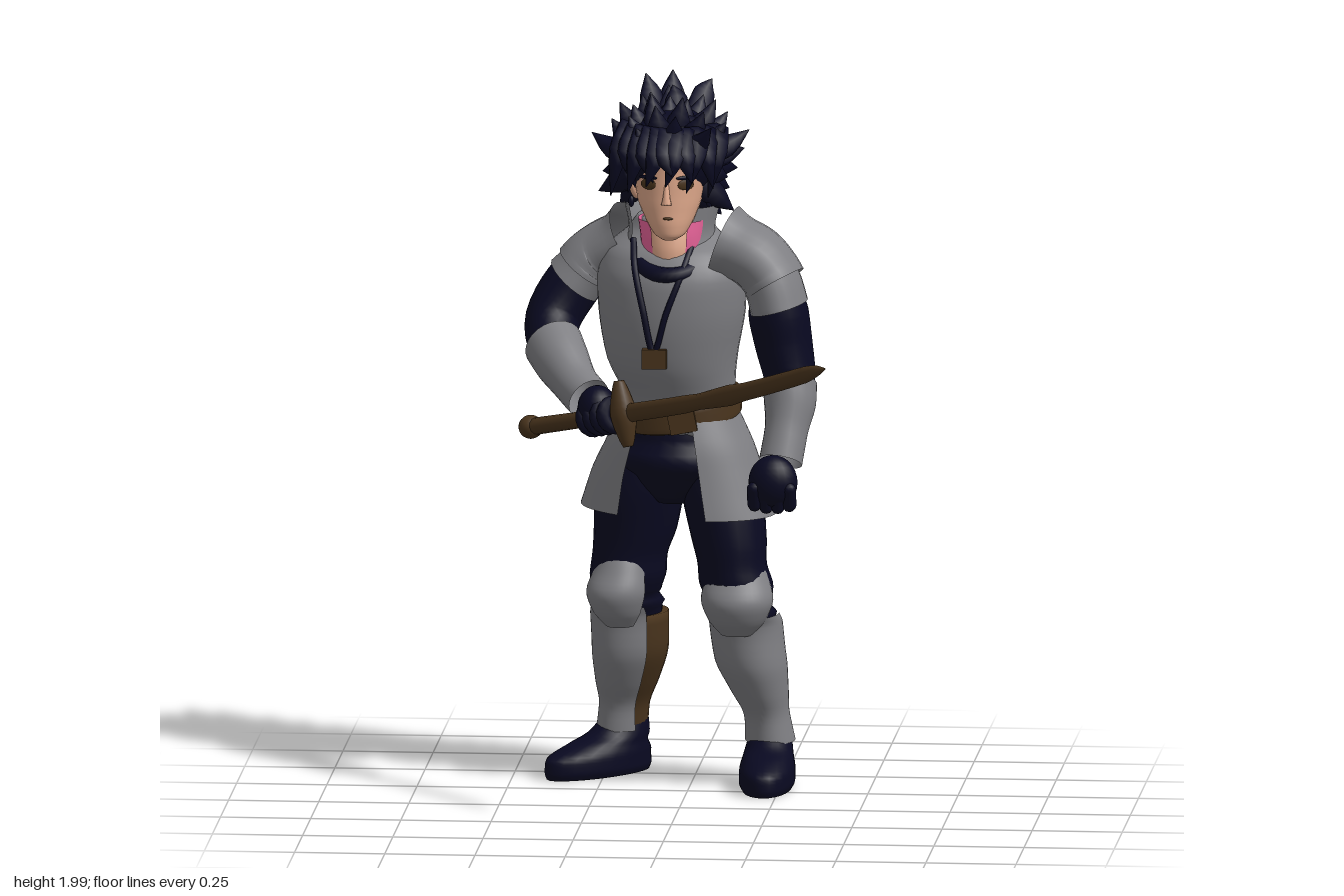
import * as THREE from 'three';
import { mergeGeometries } from 'three/addons/utils/BufferGeometryUtils.js';

const V = (x, y, z) => new THREE.Vector3(x, y, z);
const material = (name, color, side = THREE.FrontSide) => {
  const m = new THREE.MeshStandardMaterial({ color, side });
  m.name = name;
  return m;
};

// Skin elliptical rings [x, y, z, width, depth] into a surface.
// Without ref the rings lie flat (listed bottom to top); with ref they stand across the path.
function loft(rings, { yaw = 0, ref = null, arc = null, seg = 24, sub = 4, open = false } = {}) {
  const path = new THREE.CatmullRomCurve3(rings.map(r => V(r[0], r[1], r[2])));
  const size = new THREE.CatmullRomCurve3(rings.map(r => V(r[3], r[4], 0)));
  const n = (rings.length - 1) * sub, cols = arc ? seg + 1 : seg;
  const pos = [], idx = [];
  for (let i = 0; i <= n; i++) {
    const k = i / n, c = path.getPoint(k), s = size.getPoint(k);
    let t = V(0, 1, 0), u = V(Math.sin(yaw), 0, Math.cos(yaw));
    if (ref) {
      t = path.getPoint(Math.min(1, k + 0.01)).sub(path.getPoint(Math.max(0, k - 0.01))).normalize();
      u = ref.clone().addScaledVector(t, -ref.dot(t)).normalize();
    }
    const v = t.clone().cross(u);
    for (let j = 0; j < cols; j++) {
      const a = arc ? arc[0] + (arc[1] - arc[0]) * j / seg : j / seg * Math.PI * 2;
      const p = c.clone().addScaledVector(u, s.y * Math.cos(a)).addScaledVector(v, s.x * Math.sin(a));
      pos.push(p.x, p.y, p.z);
    }
  }
  for (let i = 0; i < n; i++) for (let j = 0; j < seg; j++) {
    const a = i * cols + j, b = i * cols + (j + 1) % cols;
    idx.push(a, b, a + cols, b, b + cols, a + cols);
  }
  if (!arc && !open) {
    [0, n].forEach(i => {
      const c = path.getPoint(i / n), m = pos.length / 3;
      pos.push(c.x, c.y, c.z);
      for (let j = 0; j < seg; j++) {
        const a = i * cols + j, b = i * cols + (j + 1) % cols;
        idx.push(...(i ? [a, b, m] : [b, a, m]));
      }
    });
  }
  const g = new THREE.BufferGeometry();
  g.setAttribute('position', new THREE.Float32BufferAttribute(pos, 3));
  g.setIndex(idx);
  g.computeVertexNormals();
  return g;
}

export function createModel() {
  const model = new THREE.Group();
  model.name = 'knight';
  const steel = material('steel', 0x7f7f83, THREE.DoubleSide);
  const navy = material('navy', 0x090921);
  const brown = material('brown leather', 0x49341d);
  const skin = material('skin', 0xdba588);
  const pink = material('pink', 0xe8649a, THREE.DoubleSide);
  const add = (name, mat, geo, p) => {
    const m = new THREE.Mesh(geo, mat);
    m.name = name;
    if (p) m.position.set(...p);
    model.add(m);
    return m;
  };
  const ball = (name, mat, p, s) => {
    const m = add(name, mat, new THREE.SphereGeometry(1, 20, 14), p);
    m.scale.set(...s);
    return m;
  };
  const Z = V(0, 0, 1), Y = V(0, 1, 0), yaw = -0.32;

  // Torso, collar and belt
  add('breastplate', steel, loft([[-.03, 1.0, -.355, .15, .13], [-.03, 1.09, -.35, .155, .137], [-.05, 1.2, -.335, .182, .168],
    [-.05, 1.34, -.33, .207, .183], [-.05, 1.44, -.33, .212, .176], [-.05, 1.51, -.34, .19, .15], [-.05, 1.56, -.36, .13, .1], [-.05, 1.6, -.36, .1, .08]], { yaw, seg: 36 }));
  add('collar', steel, loft([[-.05, 1.5, -.33, .14, .125], [-.05, 1.57, -.33, .12, .115], [-.05, 1.64, -.34, .135, .12]], { yaw, arc: [.85, Math.PI * 2 - .75] }));
  add('scarf', pink, loft([[-.045, 1.5, -.28, .082, .09], [-.045, 1.56, -.28, .088, .095], [-.045, 1.605, -.29, .095, .1]], { arc: [.55, Math.PI * 2 - .6] }));
  const belt = loft([[-.03, 1.03, -.355, .158, .138], [-.03, 1.04, -.355, .174, .155], [-.03, 1.095, -.355, .172, .153], [-.03, 1.105, -.355, .155, .136]], { yaw, seg: 36 });
  const bp = belt.attributes.position;
  for (let i = 0; i < bp.count; i++) bp.setY(i, bp.getY(i) + .14 * bp.getX(i) - .13 * (bp.getZ(i) + .355));
  belt.computeVertexNormals();
  add('belt', brown, belt);
  add('buckle', brown, new THREE.BoxGeometry(.075, .06, .025), [-.01, 1.045, -.205]).rotation.z = .2;
  add('pelvis', navy, loft([[-.03, .8, -.365, .06, .09], [-.03, .88, -.36, .15, .14], [-.03, .97, -.357, .15, .14], [-.03, 1.04, -.355, .14, .125]], { yaw }));

  // Skirt plates, split at front and back
  const skirt = [[-.035, .775, -.37, .29, .2], [-.035, .88, -.368, .252, .188], [-.03, .97, -.36, .21, .175], [-.03, 1.06, -.355, .165, .147]];
  [['leftSkirtPlate', [.65, Math.PI + .07]], ['rightSkirtPlate', [Math.PI + .27, Math.PI * 2 - .3]]].forEach(([n, arc]) =>
    add(n, steel, loft(skirt, { yaw: -.43, arc })));

  // Legs: trousers, boot, greave, knee guard and shoe
  const legs = [
    { n: 'left', yaw: .1, foot: 0, sole: .165, knee: [.137, .55, -.255], wide: 1, arc: [-1.5, 1.5],
      thigh: [[.15, .42, -.36, .08, .09], [.147, .48, -.335, .09, .105], [.14, .53, -.305, .09, .105], [.13, .58, -.30, .102, .115],
        [.12, .63, -.30, .096, .115], [.11, .7, -.31, .104, .127], [.09, .82, -.33, .112, .138], [.065, .96, -.35, .09, .115]],
      shin: [[.215, .12, -.41, .056, .076], [.207, .19, -.402, .058, .08], [.188, .26, -.39, .074, .1], [.165, .35, -.373, .094, .118], [.152, .46, -.36, .096, .115]] },
    { n: 'right', yaw: -.6, foot: -.8, sole: .18, knee: [-.2, .55, -.36], wide: .85, arc: [-1.55, 1.2],
      thigh: [[-.18, .42, -.49, .08, .09], [-.185, .48, -.465, .09, .105], [-.185, .53, -.435, .09, .105], [-.18, .58, -.425, .1, .115],
        [-.175, .63, -.42, .097, .115], [-.16, .7, -.42, .106, .127], [-.145, .82, -.405, .113, .138], [-.115, .96, -.38, .09, .115]],
      shin: [[-.2, .12, -.553, .055, .074], [-.197, .19, -.542, .058, .078], [-.187, .26, -.52, .074, .098], [-.177, .35, -.496, .092, .116], [-.178, .46, -.484, .095, .118]] },
  ];
  for (const l of legs) {
    add(l.n + 'Trouser', navy, loft(l.thigh, { yaw: l.yaw }));
    add(l.n + 'Boot', brown, loft(l.shin, { yaw: l.yaw }));
    const plate = l.shin.map(([x, y, z, a, b]) => [x, y, z, a + .006, b + .009]);
    plate[0][3] += .008; plate[0][4] += .01;
    const top = plate[4];
    plate.push([top[0], .49, top[2] + .025, top[3] - .008, top[4] - .005]);
    add(l.n + 'Greave', steel, loft(plate, { yaw: l.yaw, arc: l.arc }));
    const [kx, ky, kz] = l.knee;
    const guard = [[-.11, -.01, .045, .045], [-.07, 0, .078, .075], [-.01, .005, .1, .09], [.05, -.01, .086, .074], [.105, -.04, .07, .075]]
      .map(([y, d, a, b]) => [kx + d * Math.sin(l.yaw), ky + y, kz + d * Math.cos(l.yaw), a * l.wide, b]);
    add(l.n + 'KneeGuard', steel, loft(guard, { yaw: l.yaw, arc: [-1.75, 1.75] }));
    const [ax, , az] = l.shin[0], s = Math.sin(l.foot), c = Math.cos(l.foot);
    const shoe = [[0, .096, .068, l.sole - .006], [.02, .096, .077, l.sole], [.055, .094, .077, l.sole - .003], [.085, .065, .07, .135], [.11, .025, .064, .1], [.15, 0, .055, .07]]
      .map(([y, d, a, b]) => [ax + d * s, y, az + d * c, a, b]);
    add(l.n + 'Shoe', navy, loft(shoe, { yaw: l.foot }));
  }

  // Sleeves, vambraces and layered shoulder guards
  add('leftSleeve', navy, loft([[.2, 1.47, -.265, .07, .09], [.242, 1.4, -.258, .072, .095], [.252, 1.34, -.262, .084, .1], [.265, 1.26, -.27, .08, .1], [.282, 1.17, -.26, .072, .092], [.285, 1.1, -.22, .06, .07]], { ref: Z }));
  add('rightSleeve', navy, loft([[-.25, 1.48, -.43, .07, .09], [-.335, 1.385, -.425, .08, .092], [-.385, 1.295, -.385, .077, .085], [-.378, 1.235, -.32, .07, .075], [-.34, 1.19, -.24, .055, .055]], { ref: Z }));
  add('leftVambrace', steel, loft([[.284, 1.15, -.245, .075, .096], [.287, 1.1, -.218, .072, .085], [.28, 1.03, -.18, .06, .068], [.268, .95, -.14, .06, .062]], { ref: Z, open: true }));
  add('rightVambrace', steel, loft([[-.377, 1.235, -.315, .082, .084], [-.348, 1.2, -.255, .077, .078], [-.302, 1.15, -.18, .063, .063], [-.262, 1.12, -.125, .062, .062]], { ref: Y, open: true }));
  const guards = {
    left: [[[.1, 1.54, -.275, .106, .115], [.14, 1.525, -.268, .09, .112], [.19, 1.5, -.26, .088, .118], [.23, 1.455, -.255, .086, .122], [.245, 1.43, -.25, .086, .125]],
      [[.22, 1.465, -.255, .08, .113], [.24, 1.42, -.25, .08, .116], [.255, 1.365, -.248, .081, .122]]],
    right: [[[-.17, 1.53, -.41, .098, .12], [-.205, 1.51, -.42, .08, .122], [-.25, 1.48, -.44, .082, .132], [-.285, 1.45, -.445, .085, .136], [-.3, 1.43, -.445, .088, .14]],
      [[-.28, 1.455, -.445, .078, .126], [-.305, 1.425, -.445, .079, .13], [-.33, 1.395, -.445, .084, .136]]],
  };
  for (const side in guards) guards[side].forEach((g, i) =>
    add(side + (i ? 'LowerShoulderGuard' : 'ShoulderGuard'), steel, loft(g, { ref: Z, open: true })));

  // Hands
  ball('leftHand', navy, [.25, .9, -.105], [.068, .075, .055]);
  for (let i = 0; i < 4; i++) {
    const f = add('leftFinger', navy, new THREE.CapsuleGeometry(.02, .05, 4, 8), [.2 + i * .032, .862 - (i % 3 ? .006 : 0), -.085]);
    f.rotation.x = .35;
  }
  ball('rightHand', navy, [-.235, 1.105, -.085], [.055, .062, .06]);

  // Wooden sword
  const pommel = V(-.435, 1.015, -.255), hilt = V(-.155, 1.105, 0), tip = V(.46, 1.36, .625);
  const at = (a, b, k, r, q, dip = 0) => { const p = a.clone().lerp(b, k); return [p.x, p.y - dip, p.z, r, q]; };
  add('grip', brown, loft([at(pommel, hilt, 0, .027, .024), at(pommel, hilt, 1, .022, .022)], { ref: Y, seg: 12 }));
  ball('pommel', brown, pommel.toArray(), [.034, .033, .036]);
  add('blade', brown, loft([at(hilt, tip, 0, .016, .026), at(hilt, tip, .3, .016, .025, .012), at(hilt, tip, .6, .016, .025, .014),
    at(hilt, tip, .9, .015, .023, .004), at(hilt, tip, .96, .011, .015), at(hilt, tip, 1, .001, .002)], { ref: Y, seg: 10 }));
  const bar = [[-.09, .014], [-.07, .022], [0, .037], [.07, .022], [.09, .014]];
  add('crossguard', brown, loft(bar.map(([d, r]) => [hilt.x - .16 * d, hilt.y + d, hilt.z - .16 * d, r, r]), { ref: Z, seg: 14 }));
  for (let i = 0; i < 4; i++) {
    const p = pommel.clone().lerp(hilt, .66 + i * .075);
    const ring = add('rightFinger', navy, new THREE.TorusGeometry(.035, .019, 8, 16), p.toArray());
    ring.lookAt(tip);
  }

  // Neck, undershirt edge and head
  add('neck', skin, loft([[-.045, 1.47, -.255, .07, .07], [-.045, 1.54, -.265, .07, .078], [-.05, 1.64, -.3, .07, .075]]));
  const edge = add('undershirtEdge', navy, new THREE.TorusGeometry(.08, .023, 8, 28), [-.048, 1.495, -.238]);
  edge.rotation.x = Math.PI / 2 + .4;
  add('head', skin, loft([[-.045, 1.562, -.19, .02, .025], [-.045, 1.575, -.2, .042, .045], [-.047, 1.61, -.232, .066, .08], [-.05, 1.66, -.262, .088, .106],
    [-.05, 1.72, -.288, .1, .128], [-.05, 1.8, -.3, .105, .135], [-.05, 1.88, -.31, .07, .09]], { seg: 28 }));
  add('nose', skin, loft([[-.05, 1.665, -.152, .015, .016], [-.05, 1.68, -.155, .011, .015], [-.05, 1.72, -.165, .006, .008]], { seg: 10 }));
  ball('mouth', brown, [-.046, 1.625, -.155], [.014, .004, .004]);
  for (const s of [-1, 1]) {
    const x = -.05 + s * .052;
    ball('eye', brown, [x, 1.718, -.174], [.024, .015, .004]).rotation.y = s * .45;
    ball('eyebrow', navy, [x, 1.738, -.17], [.029, .006, .004]).rotation.y = s * .45;
    ball('ear', skin, [-.05 + s * .1, 1.69, -.28], [.014, .034, .022]).rotation.z = -s * .25;
    ball('earring', navy, [-.05 + s * .108, 1.65, -.275], [.008, .016, .008]);
  }

  // Hair: a cap with swept-back spikes, a few long tufts and a fringe
  ball('hairCap', navy, [-.05, 1.78, -.315], [.142, .132, .147]);
  let seed = 11;
  const rnd = () => (seed = (seed * 16807) % 2147483647) / 2147483647;
  const spikes = [], centre = V(-.053, 1.765, -.295);
  const spike = (a, b, c, w) => spikes.push(loft([[...a.toArray(), w, w * .6], [...b.toArray(), w * .75, w * .45], [...c.toArray(), .001, .001]],
    { ref: V(.3, .5, .81), seg: 6, sub: 3 }));
  for (let i = 0; i < 75; i++) {
    const y = 1 - 1.72 * (i + .5) / 75, r = Math.sqrt(1 - y * y), a = i * 2.39996;
    const d = V(r * Math.sin(a), y, r * Math.cos(a));
    const len = (.07 + .065 * rnd()) * (y > .5 ? .8 : 1);
    if (d.z > .25 && y < .3) continue;
    const base = centre.clone().addScaledVector(d, .1);
    const dir = d.clone().add(V(0, y < 0 ? -.3 : 0, -.5)).normalize();
    const mid = base.clone().addScaledVector(dir, len * .55);
    spike(base, mid, mid.clone().addScaledVector(dir, len * .5).add(V(0, y > .1 ? .025 : .005, 0)), .046);
  }
  [[-.1, -.36, -.13], [-.03, -.3, -.05], [-.06, -.42, -.06], [.01, -.4, .05]].forEach(([x, z, tx], i) =>
    spike(V(x, 1.85, z + .03), V((x + tx) / 2, 1.93, z - .04), V(tx, 1.985 - (i % 2) * .02, z - .05), .045));
  for (let i = 0; i < 11; i++) {
    const k = i / 5 - 1, side = Math.abs(k), x = -.05 + k * .135;
    const z = -.16 - side * side * .09;
    spike(V(x * .85, 1.855, z - .03), V(x, 1.805, z + .045), V(x + (i % 2 ? .02 : -.025), 1.735 - side * .06 + (i % 2) * .02, z + .065 - side * .03), .043);
  }
  add('hairSpikes', navy, mergeGeometries(spikes));

  // Pendant on a cord
  const cord = new THREE.CatmullRomCurve3([V(-.15, 1.55, -.25), V(-.14, 1.48, -.18), V(-.115, 1.37, -.147), V(-.085, 1.25, -.148), V(-.05, 1.36, -.141), V(-.005, 1.48, -.17), V(.02, 1.56, -.25)]);
  add('cord', navy, new THREE.TubeGeometry(cord, 40, .009, 6));
  add('pendant', brown, new THREE.BoxGeometry(.068, .055, .028), [-.083, 1.232, -.15]);
  return model;
}
